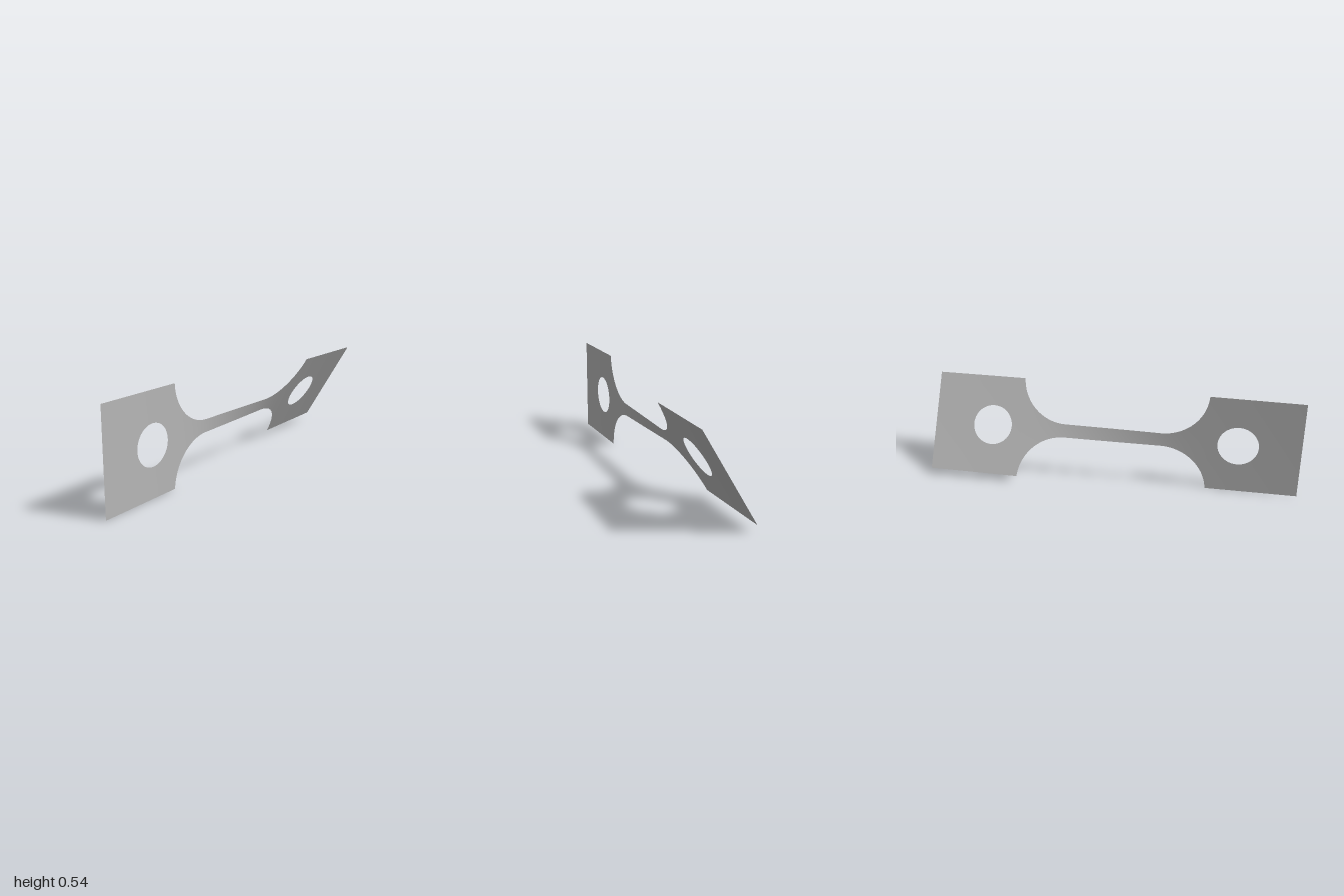
import * as THREE from 'three';
import { mergeVertices } from 'three/addons/utils/BufferGeometryUtils.js';

const HALF = 0.2705;                   // half height of the end tabs
const NECK = 0.036;                    // half height of the neck
const FILLET = 0.25;                   // fillet radius between neck and tab
const FILLET_X = 0.2615;               // where the fillet leaves the neck
const HOLE_X = 0.672, HOLE_R = 0.108;  // hole in each tab
const TWIST = THREE.MathUtils.degToRad(30.9);
const ROWS = 4;

// Half height of the outline at x
function outer(x) {
  const d = Math.abs(x) - FILLET_X;
  if (d <= 0) return NECK;
  if (d >= FILLET) return HALF;
  return Math.min(HALF, NECK + FILLET - Math.sqrt(FILLET * FILLET - d * d));
}

// Half height of the hole at x
function inner(x) {
  const d = Math.abs(x) - HOLE_X;
  return Math.sqrt(Math.max(0, HOLE_R * HOLE_R - d * d));
}

// Stations along the length, dense around the fillets and holes
function stations() {
  const half = [];
  for (let i = 0; i <= 12; i++) half.push((FILLET_X * i) / 12);
  const end = Math.acos((NECK + FILLET - HALF) / FILLET);
  for (let i = 1; i <= 24; i++) half.push(FILLET_X + FILLET * Math.sin((end * i) / 24));
  for (let i = 0; i <= 32; i++) half.push(HOLE_X - HOLE_R * Math.cos((Math.PI * i) / 32));
  for (let i = 1; i <= 5; i++) half.push(HOLE_X + HOLE_R + ((1 - HOLE_X - HOLE_R) * i) / 5);
  return [...half.slice(1).reverse().map((x) => -x), ...half];
}

function twistedSheet() {
  const xs = stations();

  // The narrow neck takes nearly all of the twist
  const rate = (x) => Math.pow(outer(x), -1.3);
  const angles = [0];
  for (let i = 1; i < xs.length; i++) {
    angles.push(angles[i - 1] + ((xs[i] - xs[i - 1]) * (rate(xs[i]) + rate(xs[i - 1]))) / 2);
  }
  const total = angles[angles.length - 1];

  const positions = [], indices = [];
  for (const side of [-1, 1]) {
    const base = positions.length / 3;
    xs.forEach((x, i) => {
      const a = (TWIST * angles[i]) / total;
      const lo = side < 0 ? -outer(x) : inner(x);
      const hi = side < 0 ? -inner(x) : outer(x);
      for (let j = 0; j <= ROWS; j++) {
        const v = lo + ((hi - lo) * j) / ROWS;
        positions.push(x, HALF + v * Math.cos(a), v * Math.sin(a));
      }
    });
    for (let i = 0; i < xs.length - 1; i++) {
      for (let j = 0; j < ROWS; j++) {
        const p = base + i * (ROWS + 1) + j, q = p + ROWS + 1;
        indices.push(p, q, q + 1, p, q + 1, p + 1);
      }
    }
  }
  let geometry = new THREE.BufferGeometry();
  geometry.setAttribute('position', new THREE.Float32BufferAttribute(positions, 3));
  geometry.setIndex(indices);
  geometry = mergeVertices(geometry, 1e-5); // join the halves along the centre line
  geometry.computeVertexNormals();
  return geometry;
}

export function createModel() {
  const group = new THREE.Group();
  group.name = 'twistedTestStrip';
  const grey = new THREE.MeshStandardMaterial({ color: 0xb8b8b8, side: THREE.DoubleSide });
  grey.name = 'plainGrey';
  const sheet = new THREE.Mesh(twistedSheet(), grey);
  sheet.name = 'twistedSheet';
  group.add(sheet);
  return group;
}
